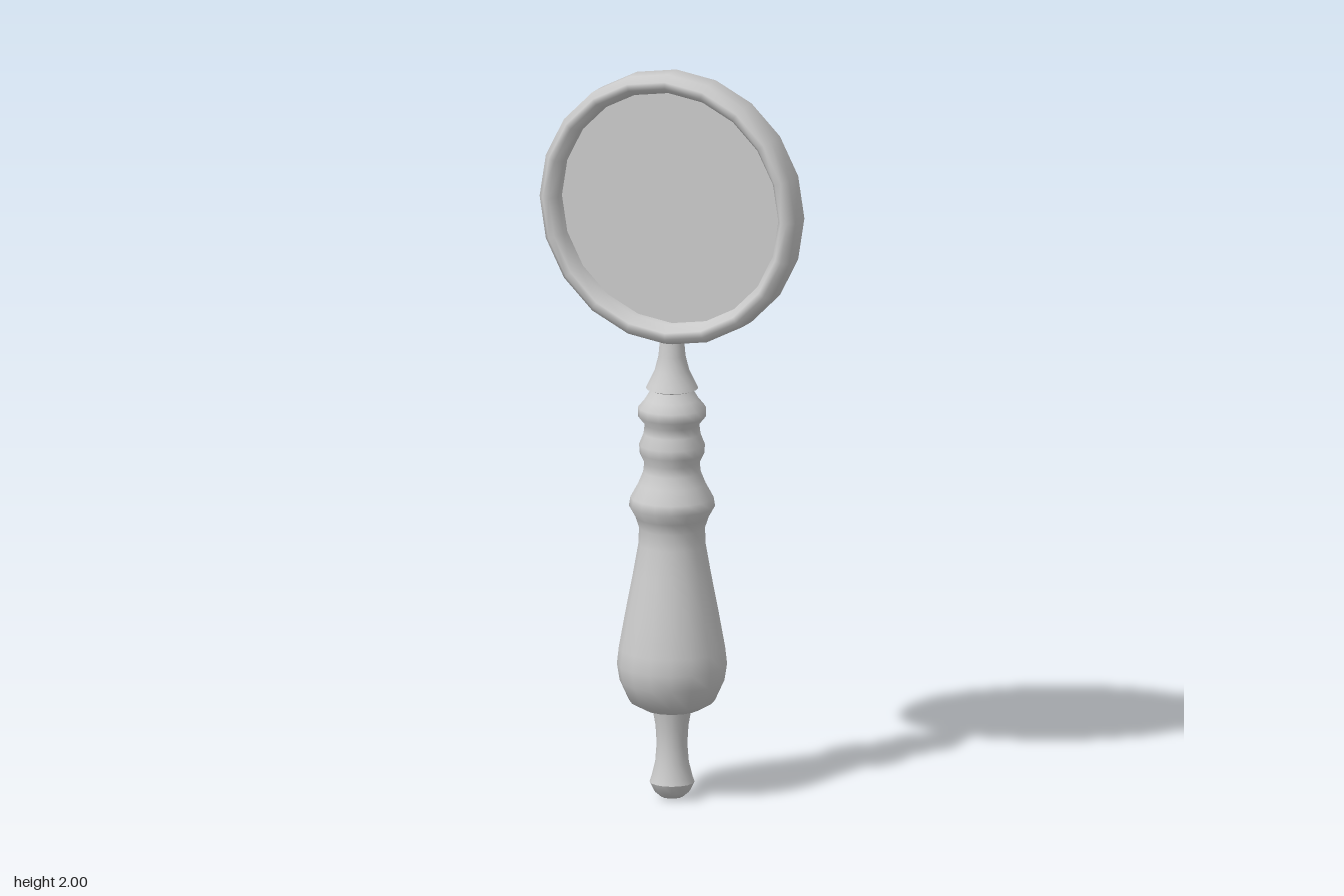
import * as THREE from 'three';

const material = new THREE.MeshStandardMaterial({ color: 0xcccccc, side: THREE.DoubleSide });
const CENTRE_Y = 1.628;
const RIM_SIDES = 20;

// Turned part from [radius, height] pairs
function turned(name, profile, sides) {
  const points = profile.map(([r, y]) => new THREE.Vector2(r, y));
  const mesh = new THREE.Mesh(new THREE.LatheGeometry(points, sides), material);
  mesh.name = name;
  return mesh;
}

export function createModel() {
  const model = new THREE.Group();
  model.name = 'handLens';

  // Turned handle, split wherever the profile has a crisp edge
  const handle = new THREE.Group();
  handle.name = 'handle';
  const sections = {
    pommelTip: [[0, 0], [0.03, 0.005], [0.048, 0.02], [0.06, 0.045]],
    pommelStem: [[0.06, 0.045], [0.055, 0.06], [0.045, 0.1], [0.041, 0.15], [0.044, 0.2], [0.052, 0.245]],
    grip: [
      [0.045, 0.24], [0.075, 0.247], [0.115, 0.27], [0.14, 0.325], [0.147, 0.37], [0.142, 0.415],
      [0.125, 0.51], [0.104, 0.62], [0.09, 0.7], [0.088, 0.745], [0.098, 0.775], [0.115, 0.805],
      [0.111, 0.83], [0.09, 0.868], [0.077, 0.9], [0.074, 0.925], [0.086, 0.95], [0.088, 0.975],
      [0.076, 1.005], [0.073, 1.03], [0.091, 1.052], [0.091, 1.077], [0.072, 1.1], [0.057, 1.125],
    ],
    collarUnderside: [[0.05, 1.125], [0.07, 1.13]],
    neck: [[0.07, 1.13], [0.063, 1.145], [0.046, 1.18], [0.036, 1.22], [0.031, 1.28]],
  };
  for (const [name, profile] of Object.entries(sections)) handle.add(turned(name, profile, 16));
  model.add(handle);

  // Rim: bevelled band closed around the lens
  const rim = turned('rim', [
    [0.32, -0.025], [0.337, -0.05], [0.355, -0.05], [0.372, -0.03],
    [0.372, 0.03], [0.355, 0.05], [0.337, 0.05], [0.32, 0.025], [0.32, -0.025],
  ], RIM_SIDES);
  rim.rotation.x = Math.PI / 2;
  rim.position.y = CENTRE_Y;
  model.add(rim);

  // Flat glass seated in the middle of the rim
  const lens = new THREE.Mesh(new THREE.CircleGeometry(0.322, RIM_SIDES), material);
  lens.name = 'lens';
  lens.position.y = CENTRE_Y;
  model.add(lens);

  return model;
}
